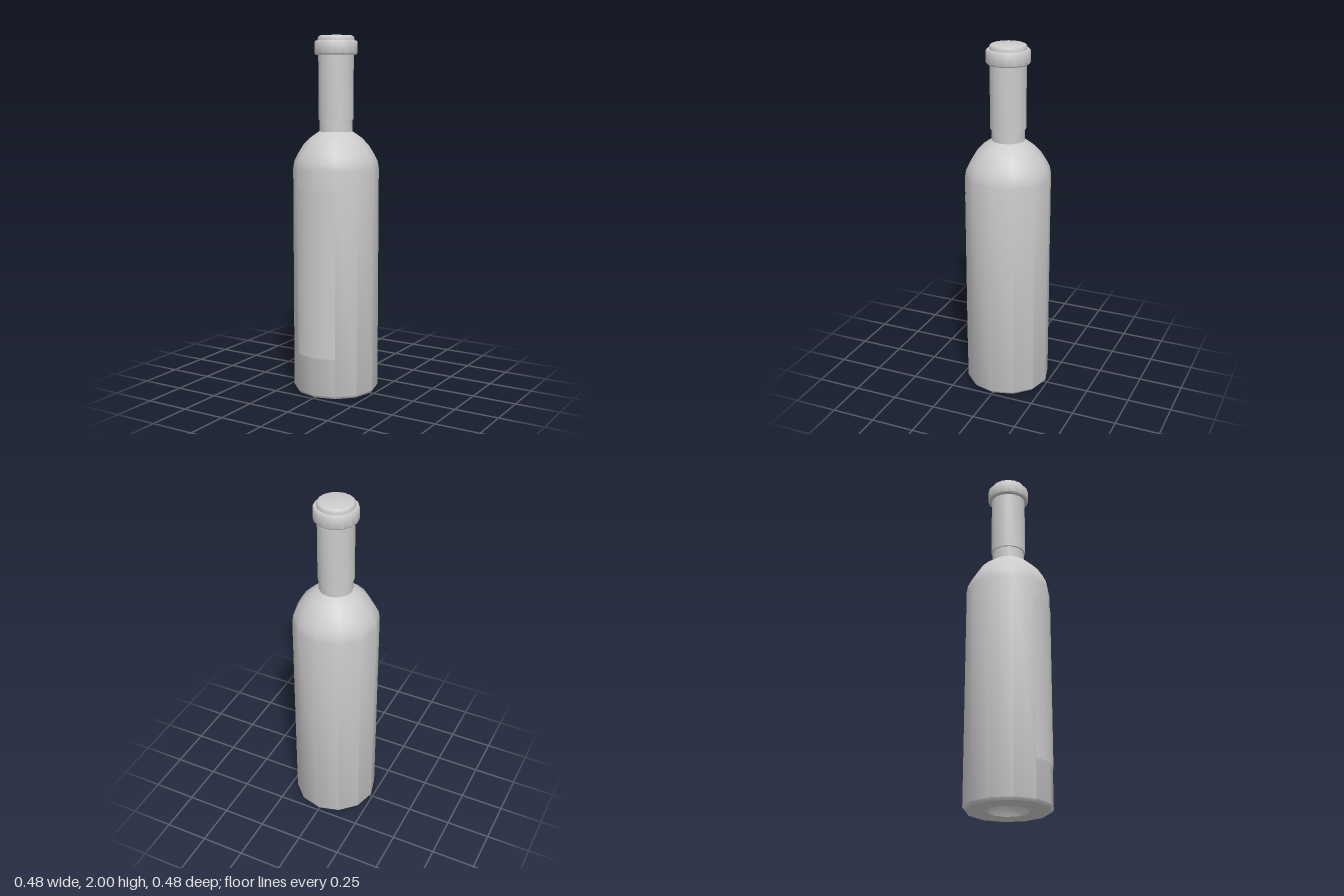
import * as THREE from 'three';
import { toCreasedNormals } from 'three/addons/utils/BufferGeometryUtils.js';

const material = new THREE.MeshStandardMaterial({ color: 0xcccccc });
const thinMaterial = new THREE.MeshStandardMaterial({ color: 0xcccccc, side: THREE.DoubleSide });

// Revolves a bottom-to-top [radius, height] profile, keeping sharp rims.
function turned(name, profile, sides) {
  const points = profile.map(([r, y]) => new THREE.Vector2(r, y));
  const geometry = toCreasedNormals(new THREE.LatheGeometry(points, sides), 0.72);
  const mesh = new THREE.Mesh(geometry, material);
  mesh.name = name;
  return mesh;
}

export function createModel() {
  const bottle = new THREE.Group();
  bottle.name = 'bottle';

  // Glass: hollow base, straight body, round shoulder and neck
  bottle.add(turned('glassBody', [
    [0, 0.09], [0.06, 0.075], [0.1, 0.035], [0.115, 0],
    [0.228, 0], [0.24, 0.015], [0.24, 1.27],
    [0.233, 1.31], [0.213, 1.35], [0.182, 1.4], [0.143, 1.44],
    [0.108, 1.465], [0.093, 1.475], [0.092, 1.56],
  ], 12));

  // Foil sleeve around the neck
  bottle.add(turned('foilSleeve', [
    [0.088, 1.54], [0.099, 1.54], [0.099, 1.91],
  ], 16));

  // Raised lip collar
  bottle.add(turned('lipCollar', [
    [0.098, 1.895], [0.114, 1.895], [0.12, 1.902], [0.12, 1.965],
    [0.115, 1.972], [0.098, 1.972],
  ], 16));

  // Closed top
  bottle.add(turned('topCap', [
    [0.102, 1.96], [0.102, 1.985], [0.097, 1.995], [0.085, 2], [0, 2],
  ], 16));

  // Paper label curved around the front
  const label = new THREE.Mesh(
    new THREE.CylinderGeometry(0.241, 0.241, 0.93, 4, 1, true, -Math.PI / 6, Math.PI / 3),
    thinMaterial,
  );
  label.name = 'frontLabel';
  label.position.y = 0.695;
  bottle.add(label);

  return bottle;
}
